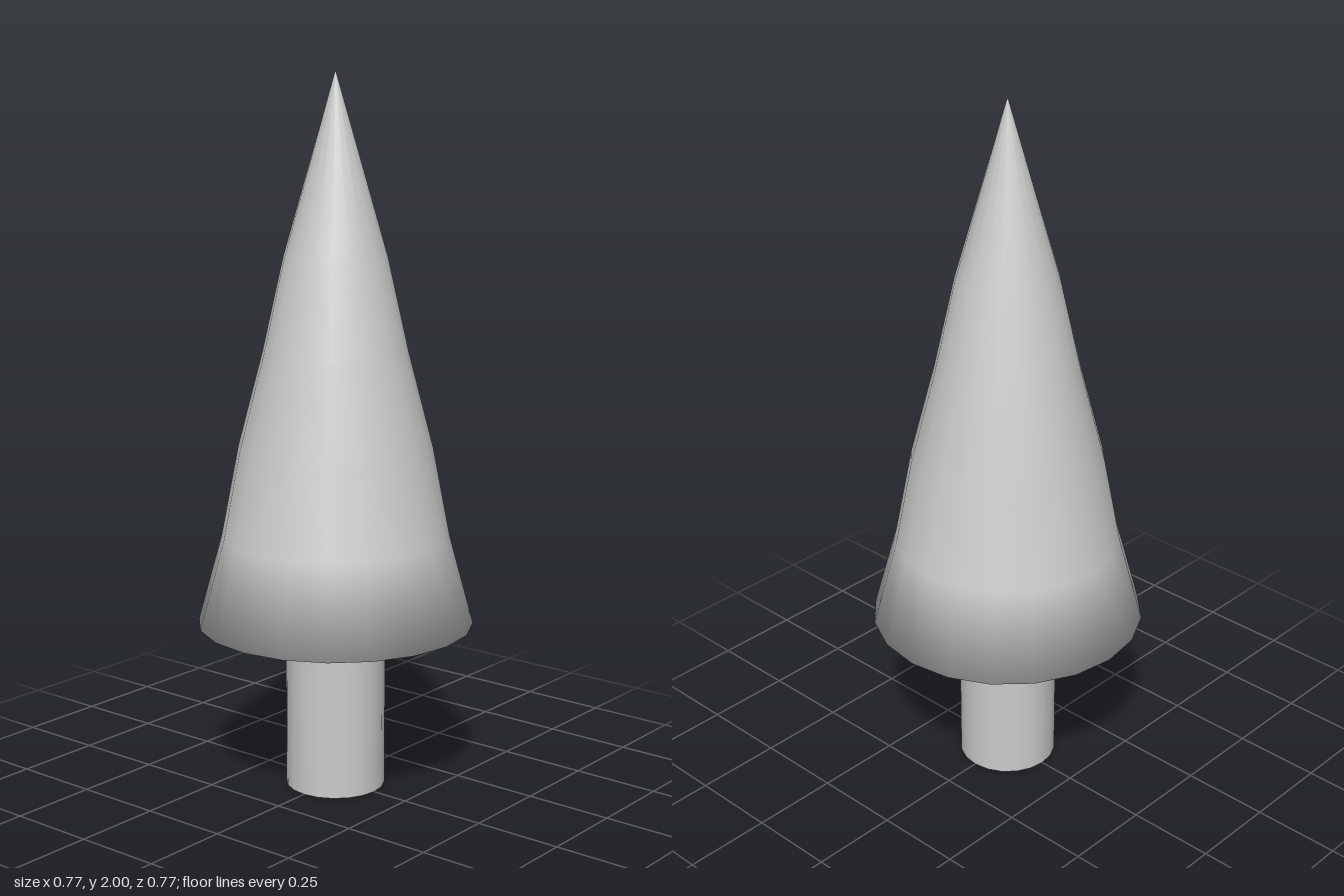
import * as THREE from 'three';

const SIDES = 20;
const material = new THREE.MeshStandardMaterial({ color: 0xcccccc, side: THREE.DoubleSide });

// Revolves a bottom-to-top profile of [radius, height] pairs
function turned(name, profile) {
  const points = profile.map(([r, y]) => new THREE.Vector2(r, y));
  const mesh = new THREE.Mesh(new THREE.LatheGeometry(points, SIDES), material);
  mesh.name = name;
  return mesh;
}

export function createModel() {
  const tree = new THREE.Group();
  tree.name = 'tree';

  // Trunk wall, with a narrow collar that blends its shading into the foliage underside
  tree.add(turned('trunk', [[0.14, 0], [0.14, 0.38], [0.14, 0.475], [0.16, 0.475]]));

  // Flat, sharp-edged trunk end
  tree.add(turned('trunkBase', [[0, 0], [0.14, 0]]));

  // Foliage: flat underside, smooth rim and slightly stepped cone up to the tip
  tree.add(turned('foliage', [
    [0.16, 0.475], [0.386, 0.475], [0.318, 0.725], [0.27, 0.975],
    [0.201, 1.24], [0.143, 1.5], [0, 2],
  ]));

  return tree;
}
